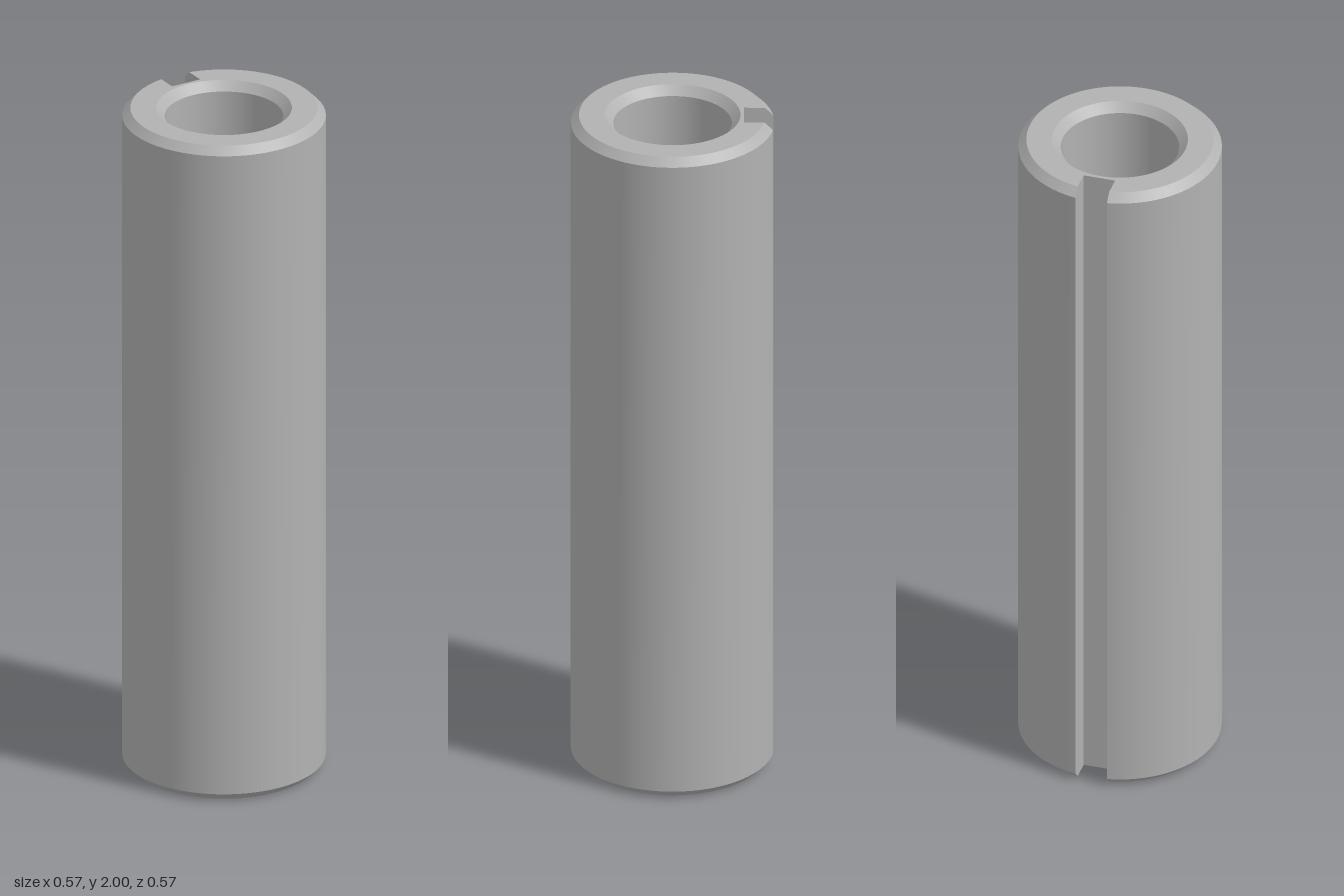
import * as THREE from 'three';
import { toCreasedNormals } from 'three/addons/utils/BufferGeometryUtils.js';

const RADIUS = 0.285, RIM = 0.262, CHAMFER = 0.023, HEIGHT = 2;
const SLOT_HALF = 0.046, SLOT_FLOOR = -0.2;
const BORE_END = 0.6, PITCH = 0.04;

// Round outline with the keyway cut into the back, as [x, z] points
function outline(radius, segments = 96) {
  const a = Math.asin(SLOT_HALF / radius);
  const points = [];
  for (let i = 0; i <= segments; i++) {
    const t = a + (i / segments) * (2 * Math.PI - 2 * a);
    points.push([radius * Math.sin(t), -radius * Math.cos(t)]);
  }
  points.push([-SLOT_HALF, SLOT_FLOOR], [SLOT_HALF, SLOT_FLOOR]);
  return points;
}

// Skin through closed outlines stacked from bottom to top
function loft(levels) {
  const positions = [], index = [];
  const loops = levels.map(([r]) => outline(r));
  const n = loops[0].length;
  loops.forEach((loop, l) => loop.forEach(([x, z]) => positions.push(x, levels[l][1], z)));
  for (let l = 0; l < loops.length - 1; l++) {
    for (let i = 0; i < n; i++) {
      const a = l * n + i, b = l * n + ((i + 1) % n);
      index.push(b, a, a + n, b, a + n, b + n);
    }
  }
  const geometry = new THREE.BufferGeometry();
  geometry.setAttribute('position', new THREE.Float32BufferAttribute(positions, 3));
  geometry.setIndex(index);
  return toCreasedNormals(geometry, 0.4);
}

// Flat end face with a round opening
function endFace(holeRadius, y, up) {
  const side = up ? -1 : 1;
  const shape = new THREE.Shape(outline(RIM).map(([x, z]) => new THREE.Vector2(x, side * z)));
  shape.holes.push(new THREE.Path().absarc(0, 0, holeRadius, 0, Math.PI * 2, true));
  return new THREE.ShapeGeometry(shape, 48).rotateX(side * Math.PI / 2).translate(0, y, 0);
}

// Surface of revolution facing the axis; profile runs from top to bottom
function inside(profile) {
  return new THREE.LatheGeometry(profile.map(([r, y]) => new THREE.Vector2(r, y)), 96);
}

export function createModel() {
  const group = new THREE.Group();
  const steel = new THREE.MeshStandardMaterial({ color: 0xb2b2b2 });
  steel.name = 'steel grey';
  const add = (name, geometry) => {
    const mesh = new THREE.Mesh(geometry, steel);
    mesh.name = name;
    group.add(mesh);
  };

  // Outer wall with chamfered ends and the full-length keyway
  add('slottedSleeve', loft([
    [RIM, 0], [RADIUS, CHAMFER], [RADIUS, HEIGHT - CHAMFER], [RIM, HEIGHT],
  ]));
  add('topFace', endFace(0.19, HEIGHT, true));
  add('bottomFace', endFace(0.17, 0, false));

  // Plain bore with a countersunk mouth and a conical floor
  add('plainBore', toCreasedNormals(inside([
    [0.19, HEIGHT], [0.166, HEIGHT - 0.025], [0.166, BORE_END], [0.13, BORE_END - 0.03],
  ]), 0.4));

  // Threaded hole: grooves sheared into a helix, between fixed ends
  const top = BORE_END - 0.03, bottom = 0.04;
  const profile = [[0.13, top]];
  for (let y = top - PITCH; y - PITCH > bottom; y -= PITCH) {
    profile.push([0.13, y], [0.13, y - PITCH * 0.15], [0.153, y - PITCH * 0.53], [0.153, y - PITCH * 0.62]);
  }
  profile.push([0.13, bottom]);
  const thread = inside(profile);
  const pos = thread.attributes.position, rows = profile.length;
  for (let i = 0; i < pos.count; i++) {
    const row = i % rows, turn = Math.floor(i / rows) / 96;
    if (row > 0 && row < rows - 1) pos.setY(i, pos.getY(i) + (turn - 0.3) * PITCH);
  }
  add('threadedHole', toCreasedNormals(thread, 0.4));

  // Countersink at the lower opening
  add('bottomCountersink', inside([[0.13, bottom], [0.17, 0]]));

  group.position.z = -0.002;
  return group;
}
